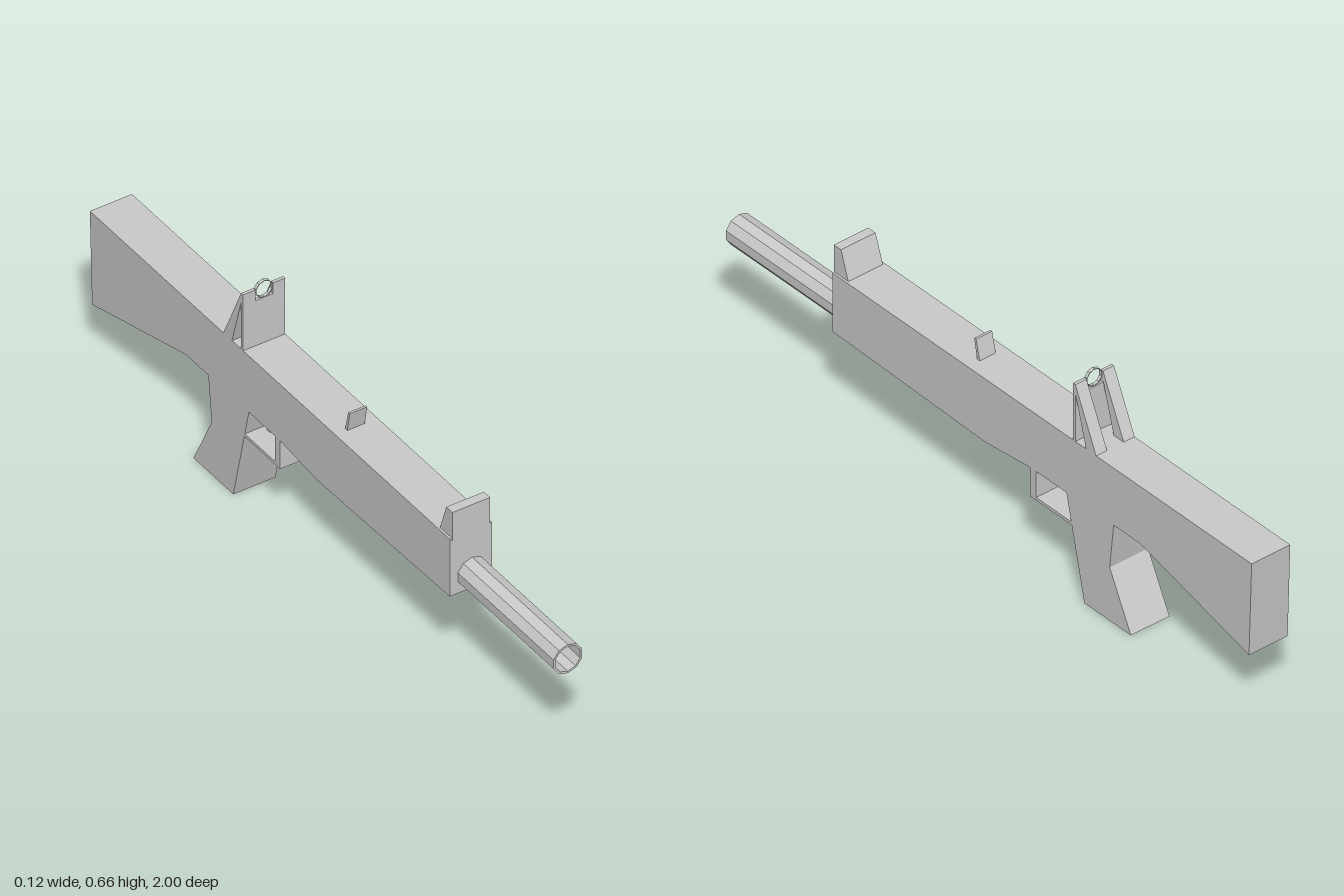
import * as THREE from 'three';

const material = new THREE.MeshStandardMaterial({ color: 0xcccccc, flatShading: true });
const thin = new THREE.MeshStandardMaterial({ color: 0xcccccc, flatShading: true, side: THREE.DoubleSide });

// Extrude a side profile of [z, y] points across x, centred on x = cx
function sideProfile(name, points, width, cx = 0) {
  const shape = new THREE.Shape(points.map(([z, y]) => new THREE.Vector2(z, y)));
  const geo = new THREE.ExtrudeGeometry(shape, { depth: width, bevelEnabled: false });
  geo.translate(0, 0, -width / 2).rotateY(-Math.PI / 2).translate(cx, 0, 0);
  const mesh = new THREE.Mesh(geo, material);
  mesh.name = name;
  return mesh;
}

export function createModel() {
  const model = new THREE.Group();
  const W = 0.123;

  // Receiver, stock and grip share one slab-sided outline
  model.add(sideProfile('body', [
    [0.58, 0.467], [0.58, 0.291], [0, 0.277], [-0.17, 0.295], [-0.302, 0.295],
    [-0.37, 0], [-0.545, 0], [-0.465, 0.16], [-0.48, 0.295], [-0.58, 0.295],
    [-0.99, 0.187], [-1, 0.467],
  ], W));

  // Hollow ten-sided barrel: outer wall, bore and muzzle rim in one lathe
  const barrelGeo = new THREE.LatheGeometry(
    [[0.044, 0], [0.044, 0.42], [0.038, 0.42], [0.038, 0]].map(([r, l]) => new THREE.Vector2(r, l)), 10);
  barrelGeo.rotateX(Math.PI / 2);
  const barrel = new THREE.Mesh(barrelGeo, thin);
  barrel.name = 'barrel';
  barrel.position.set(0.004, 0.34, 0.58);
  model.add(barrel);

  // Front sight block and small leaf on the top cover
  model.add(sideProfile('frontSight',
    [[0.582, 0.46], [0.582, 0.547], [0.555, 0.547], [0.525, 0.46]], 0.11));
  model.add(sideProfile('topLeaf',
    [[0.078, 0.46], [0.09, 0.525], [0.083, 0.525], [0.068, 0.46]], 0.051, -0.002));

  // Rear sight: notched plate, slanted braces and ring aperture
  const rearSight = new THREE.Group();
  rearSight.name = 'rearSight';
  const plateShape = new THREE.Shape([
    [-0.0615, 0.46], [0.0615, 0.46], [0.0615, 0.638], [0.026, 0.638],
    [0.026, 0.605], [-0.026, 0.605], [-0.026, 0.638], [-0.0615, 0.638],
  ].map(([x, y]) => new THREE.Vector2(x, y)));
  const plate = new THREE.Mesh(
    new THREE.ExtrudeGeometry(plateShape, { depth: 0.009, bevelEnabled: false }), material);
  plate.name = 'sightPlate';
  plate.position.z = -0.336;
  rearSight.add(plate);
  for (const s of [-1, 1]) {
    rearSight.add(sideProfile('sightBrace',
      [[-0.336, 0.638], [-0.336, 0.61], [-0.378, 0.46], [-0.417, 0.46]], 0.035, s * 0.044));
  }
  const ringGeo = new THREE.LatheGeometry(
    [[0.0255, -0.0045], [0.0255, 0.0045], [0.0235, 0.0045], [0.0235, -0.0045], [0.0255, -0.0045]]
      .map(([r, l]) => new THREE.Vector2(r, l)), 10);
  ringGeo.rotateX(Math.PI / 2);
  const ring = new THREE.Mesh(ringGeo, thin);
  ring.name = 'sightRing';
  ring.position.set(0, 0.631, -0.331);
  rearSight.add(ring);
  model.add(rearSight);

  // Trigger guard strap and trigger
  model.add(sideProfile('triggerGuard', [
    [-0.165, 0.3], [-0.165, 0.208], [-0.325, 0.208], [-0.325, 0.217],
    [-0.188, 0.217], [-0.188, 0.3],
  ], W));
  model.add(sideProfile('trigger',
    [[-0.262, 0.3], [-0.262, 0.242], [-0.278, 0.242], [-0.278, 0.3]], 0.052));

  return model;
}
